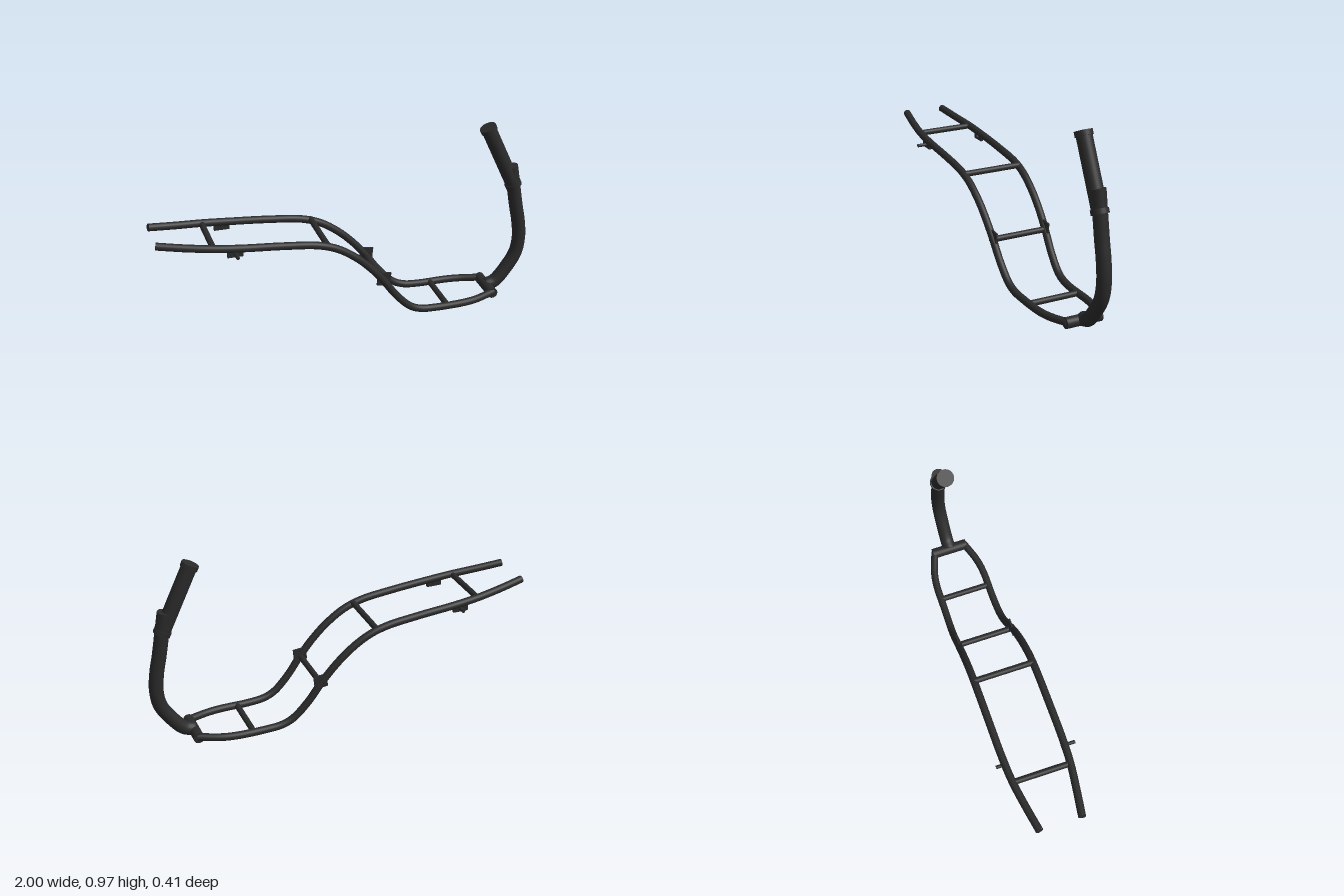
import * as THREE from 'three';

const ZC = -0.007; // centre plane of the frame

export function createModel() {
  const group = new THREE.Group();
  const black = new THREE.MeshStandardMaterial({ color: 0x2a2a2a });
  black.name = 'black steel';

  const add = (name, geometry, x = 0, y = 0, z = 0) => {
    const mesh = new THREE.Mesh(geometry, black);
    mesh.name = name;
    mesh.position.set(x, y, z);
    group.add(mesh);
    return mesh;
  };

  // bent tube with closed ends
  const addTube = (name, points, radius, segments) => {
    const curve = new THREE.CatmullRomCurve3(points.map(p => new THREE.Vector3(...p)));
    add(name, new THREE.TubeGeometry(curve, segments, radius, 20));
    for (const t of [0, 1]) {
      const p = curve.getPointAt(t);
      const dir = curve.getTangentAt(t).multiplyScalar(t ? 1 : -1);
      add(name + 'End', new THREE.CircleGeometry(radius, 20), p.x, p.y, p.z)
        .quaternion.setFromUnitVectors(new THREE.Vector3(0, 0, 1), dir);
    }
  };

  // straight round bar between two points
  const addBar = (name, a, b, radius) => {
    const from = new THREE.Vector3(...a), to = new THREE.Vector3(...b);
    const dir = to.clone().sub(from);
    const mid = from.clone().add(to).multiplyScalar(0.5);
    add(name, new THREE.CylinderGeometry(radius, radius, dir.length(), 28), mid.x, mid.y, mid.z)
      .quaternion.setFromUnitVectors(new THREE.Vector3(0, 1, 0), dir.normalize());
  };

  // side rails: x, y, distance from the centre plane
  const rail = [
    [-1, 0.592, 0.108], [-0.86, 0.572, 0.131], [-0.72, 0.556, 0.15], [-0.58, 0.542, 0.157],
    [-0.38, 0.524, 0.158], [-0.2, 0.5, 0.158], [-0.1, 0.465, 0.157], [0, 0.398, 0.155],
    [0.08, 0.322, 0.153], [0.15, 0.238, 0.15], [0.22, 0.142, 0.146], [0.3, 0.062, 0.142],
    [0.36, 0.036, 0.14], [0.44, 0.028, 0.138], [0.6, 0.028, 0.136], [0.68, 0.03, 0.123],
    [0.79, 0.036, 0.085],
  ];
  for (const s of [1, -1]) {
    const side = s > 0 ? 'front' : 'rear';
    addTube(side + 'Rail', rail.map(([x, y, z]) => [x, y, ZC + s * z]), 0.0195, 120);

    // seat mount plate and its pin
    add(side + 'MountPlate', new THREE.BoxGeometry(0.08, 0.04, 0.014), -0.622, 0.523, ZC + s * 0.157);
    addBar(side + 'MountPin', [-0.62, 0.521, ZC + s * 0.14], [-0.62, 0.521, s * 0.206], 0.009);

    // gusset plate at the slope
    add(side + 'Gusset', new THREE.BoxGeometry(0.07, 0.07, 0.01), 0.15, 0.25, ZC + s * 0.148)
      .rotation.z = -0.1;
  }

  // cross bars
  for (const [x, y, w] of [[-0.725, 0.555, 0.15], [-0.152, 0.494, 0.157], [0.148, 0.238, 0.15], [0.51, 0.029, 0.137]])
    addBar('crossBar', [x, y, ZC - w], [x, y, ZC + w], 0.0155);
  addBar('lowerCrossTube', [0.785, 0.033, ZC - 0.097], [0.785, 0.033, ZC + 0.097], 0.028);

  // down tube rising to the steering head
  addTube('downTube', [
    [0.79, 0.038], [0.835, 0.055], [0.9, 0.13], [0.947, 0.21], [0.962, 0.3],
    [0.953, 0.4], [0.935, 0.49], [0.914, 0.61], [0.894, 0.725],
  ].map(([x, y]) => [x, y, ZC]), 0.036, 80);

  // steering head tube with a collar at each end
  const bottom = new THREE.Vector3(0.916, 0.608, ZC);
  const top = new THREE.Vector3(0.751, 0.957, ZC);
  const along = t => bottom.clone().lerp(top, t).toArray();
  addBar('headTube', along(0.01), along(0.99), 0.039);
  addBar('lowerCollar', along(0), along(0.065), 0.044);
  addBar('upperCollar', along(0.935), along(1), 0.044);

  return group;
}
